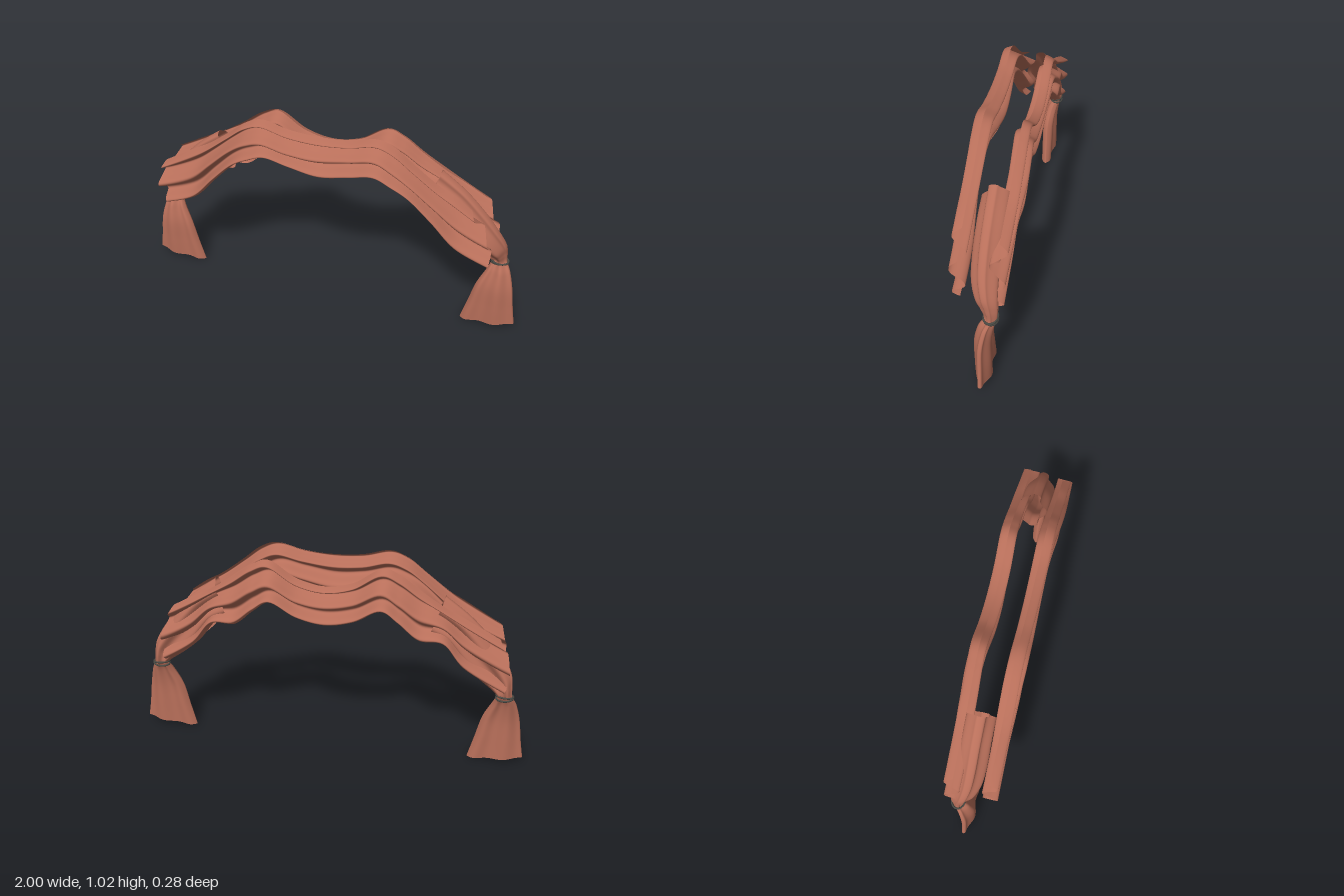
import * as THREE from 'three';

const cloth = new THREE.MeshStandardMaterial({ color: 0xb86f5a, side: THREE.DoubleSide });
const cord = new THREE.MeshStandardMaterial({ color: 0x4a4a44 });

const spline = (pts) => new THREE.SplineCurve(pts.map(([x, y]) => new THREE.Vector2(x, y)));

// Smooth grid surface from a rule f(u, v) -> [x, y, z]
function sheet(name, nu, nv, f, wrap = false) {
  const pos = [], idx = [], cols = wrap ? nv : nv + 1;
  for (let i = 0; i <= nu; i++)
    for (let j = 0; j < cols; j++) pos.push(...f(i / nu, j / nv));
  for (let i = 0; i < nu; i++)
    for (let j = 0; j < nv; j++) {
      const k = (j + 1) % cols;
      const a = i * cols + j, b = i * cols + k, c = a + cols, d = b + cols;
      idx.push(a, b, c, b, d, c);
    }
  const g = new THREE.BufferGeometry();
  g.setAttribute('position', new THREE.Float32BufferAttribute(pos, 3));
  g.setIndex(idx);
  g.computeVertexNormals();
  const m = new THREE.Mesh(g, cloth);
  m.name = name;
  return m;
}

// Swag edges: a mirrored half line with its own end point on either side
const edge = (half, rightEnd, leftEnd) => spline([
  leftEnd, ...half.slice(1).reverse().map(([x, y]) => [-x, y]), ...half, rightEnd]);
const frontTop = edge([[0, 0.99], [0.15, 1.0], [0.28, 1.03], [0.37, 1.0], [0.46, 0.93], [0.57, 0.85], [0.66, 0.8]], [0.74, 0.745], [-0.83, 0.7]);
const frontLow = edge([[0, 0.77], [0.15, 0.8], [0.27, 0.83], [0.36, 0.8], [0.45, 0.75], [0.56, 0.64], [0.68, 0.51]], [0.84, 0.44], [-0.83, 0.44]);
const backTop = edge([[0, 0.885], [0.14, 0.915], [0.27, 0.995], [0.36, 0.97], [0.46, 0.9], [0.57, 0.83], [0.67, 0.78]], [0.78, 0.72], [-0.84, 0.69]);
const backLow = edge([[0, 0.68], [0.14, 0.71], [0.27, 0.78], [0.36, 0.73], [0.46, 0.65], [0.58, 0.64], [0.68, 0.52]], [0.84, 0.41], [-0.87, 0.41]);

// Fold profile of a swag: [share of the drop, depth]
const folds = spline([[0, 0.085], [0.1, 0.126], [0.19, 0.085], [0.27, 0.05], [0.38, 0.085], [0.48, 0.126],
  [0.57, 0.118], [0.66, 0.07], [0.76, 0.058], [0.86, 0.105], [0.93, 0.115], [1, 0.08]]);

function swag(name, side, top, low, phase) {
  return sheet(name, 110, 60, (u, v) => {
    const a = top.getPoint(u), b = low.getPoint(u), p = folds.getPoint(v);
    const belly = Math.sin(Math.PI * v), w = 2 * u - 1;
    const k = p.x + 0.035 * belly * Math.sin(u * 19 + phase);
    const swell = 0.016 * v * Math.sin(Math.PI * Math.abs(w)) ** 2;
    const z = p.y + swell + belly * 0.005 * Math.sin(u * 13 + v * 5 + phase);
    const flare = Math.sign(w) * 0.04 * belly * w ** 8;
    return [a.x + (b.x - a.x) * k + flare, a.y + (b.y - a.y) * k, side * z];
  });
}

// Gathered end: outer edge, inner edge, and [z centre, half depth] at each station
const outer = spline([[0.57, 0.86], [0.69, 0.77], [0.79, 0.67], [0.86, 0.58], [0.905, 0.5], [0.915, 0.44], [0.92, 0.385],
  [0.945, 0.33], [0.968, 0.24], [0.985, 0.12], [1.0, 0.035]]);
const inner = spline([[0.5, 0.66], [0.58, 0.63], [0.67, 0.52], [0.75, 0.45], [0.81, 0.41], [0.835, 0.395], [0.845, 0.38],
  [0.825, 0.33], [0.785, 0.24], [0.755, 0.12], [0.725, 0.005]]);
const depth = spline([[-0.025, 0.07], [-0.025, 0.07], [-0.025, 0.07], [-0.03, 0.065], [-0.045, 0.053], [-0.06, 0.04], [-0.065, 0.03],
  [-0.045, 0.036], [-0.03, 0.04], [-0.03, 0.04], [-0.032, 0.038]]);

function gatheredEnd() {
  return sheet('gatheredDrape', 80, 80, (u, v) => {
    const o = outer.getPoint(u), n = inner.getPoint(u), d = depth.getPoint(u), t = v * Math.PI * 2;
    const k = 0.5 - 0.5 * Math.cos(t);
    const pleat = 0.8 + 0.24 * Math.sin(5 * t + 1.5 * u);
    return [o.x + (n.x - o.x) * k, o.y + (n.y - o.y) * k, d.x + d.y * Math.sin(t) * pleat];
  }, true);
}

// Cord wound twice around the gather
function tie() {
  const g = new THREE.Group();
  g.name = 'tieCord';
  for (const [y, tilt] of [[0.376, 0.16], [0.386, -0.1]]) {
    const ring = new THREE.Mesh(new THREE.TorusGeometry(0.041, 0.005, 8, 32), cord);
    ring.name = 'cordLoop';
    ring.rotation.x = Math.PI / 2;
    ring.scale.y = 0.8;
    const holder = new THREE.Group();
    holder.name = 'cordTurn';
    holder.add(ring);
    holder.position.set(0.884, y, -0.065);
    holder.rotation.set(-tilt, 0, tilt * 0.5);
    g.add(holder);
  }
  return g;
}

export function createModel() {
  const model = new THREE.Group();
  model.name = 'drapedCurtain';
  model.add(swag('frontSwag', 1, frontTop, frontLow, 0.4), swag('backSwag', -1, backTop, backLow, 1.9));
  for (const [name, s] of [['leftEnd', 1], ['rightEnd', -1]]) {
    const end = new THREE.Group();
    end.name = name;
    end.add(gatheredEnd(), tie());
    end.scale.x = s;
    model.add(end);
  }
  return model;
}
